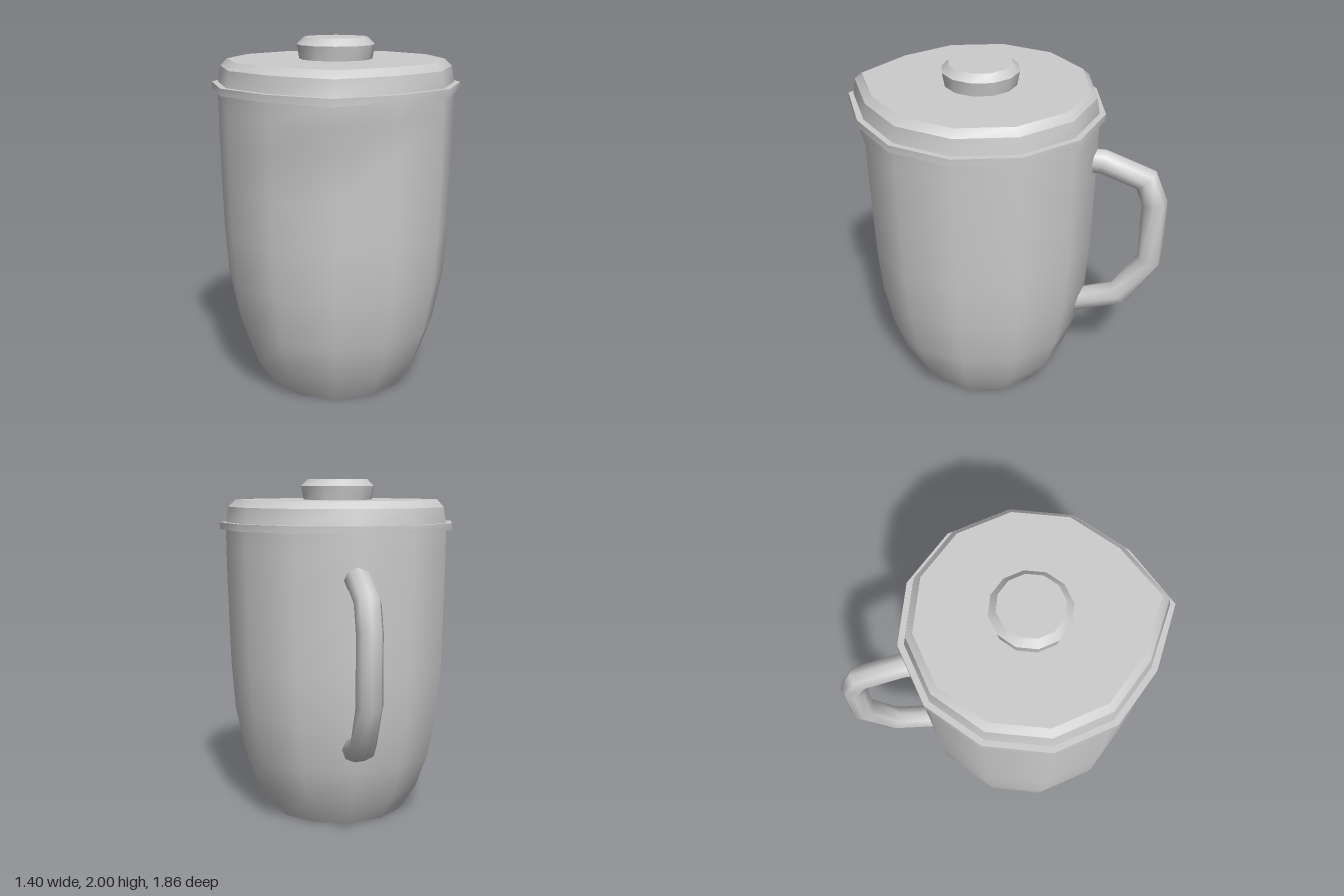
import * as THREE from 'three';

const SIDES = 12;
const CENTRE_Z = 0.147;

// Twelve-sided ring; the front corner is pulled forward to form the spout.
function ring(radius, y, pull = 0) {
  return Array.from({ length: SIDES }, (_, i) => {
    const a = (i / SIDES) * Math.PI * 2;
    return new THREE.Vector3(
      radius * Math.sin(a), y, CENTRE_Z + radius * Math.cos(a) + (i === 0 ? pull : 0));
  });
}

// Smooth skin through rings of equal size.
function loft(rings) {
  const n = rings[0].length;
  const index = [];
  for (let r = 0; r < rings.length - 1; r++) {
    for (let i = 0; i < n; i++) {
      const j = (i + 1) % n;
      const a = r * n + i, b = r * n + j, c = a + n, d = b + n;
      index.push(a, b, d, a, d, c);
    }
  }
  const geometry = new THREE.BufferGeometry().setFromPoints(rings.flat());
  geometry.setIndex(index);
  geometry.computeVertexNormals();
  return geometry;
}

// Flat fan closing a ring.
function cap(points, faceUp) {
  const index = [];
  for (let i = 1; i < points.length - 1; i++) {
    index.push(0, ...(faceUp ? [i, i + 1] : [i + 1, i]));
  }
  const geometry = new THREE.BufferGeometry().setFromPoints(points);
  geometry.setIndex(index);
  geometry.computeVertexNormals();
  return geometry;
}

// Tube rings mitred at each bend of a path in the yz plane.
function tubeRings(path, radius, sides) {
  const points = path.map(([z, y]) => new THREE.Vector3(0, y, z));
  const xAxis = new THREE.Vector3(1, 0, 0);
  return points.map((p, k) => {
    const before = p.clone().sub(points[Math.max(k - 1, 0)]).normalize();
    const after = points[Math.min(k + 1, points.length - 1)].clone().sub(p).normalize();
    const tangent = before.clone().add(after).normalize();
    const mitre = 1 / tangent.dot(k === 0 ? after : before);
    const normal = xAxis.clone().cross(tangent).multiplyScalar(mitre);
    return Array.from({ length: sides }, (_, i) => {
      const a = (i / sides) * Math.PI * 2;
      return p.clone()
        .addScaledVector(xAxis, radius * Math.sin(a))
        .addScaledVector(normal, radius * Math.cos(a));
    });
  });
}

export function createModel() {
  const grey = new THREE.MeshStandardMaterial({ color: 0xcccccc });
  grey.name = 'light grey';
  const model = new THREE.Group();
  model.name = 'pitcher';

  const add = (parent, name, geometry) => {
    const mesh = new THREE.Mesh(geometry, grey);
    mesh.name = name;
    parent.add(mesh);
  };

  // Crisp-edged part: each band is separate so its edges stay sharp.
  const addBanded = (name, rings) => {
    const group = new THREE.Group();
    group.name = name;
    for (let i = 0; i < rings.length - 1; i++) {
      add(group, name + 'Band', loft([rings[i], rings[i + 1]]));
    }
    add(group, name + 'Top', cap(rings[rings.length - 1], true));
    add(group, name + 'Underside', cap(rings[0], false));
    model.add(group);
  };

  // Body: radius, height, spout pull
  const bodyRings = [
    [0.40, 0, 0], [0.505, 0.16, 0], [0.575, 0.36, 0], [0.63, 0.64, 0], [0.65, 0.92, 0],
    [0.658, 1.2, 0.005], [0.664, 1.44, 0.017], [0.666, 1.6, 0.087], [0.667, 1.72, 0.087],
  ].map(([r, y, pull]) => ring(r, y, pull));
  add(model, 'body', loft(bodyRings));
  add(model, 'base', cap(bodyRings[0], false));

  // Rim, lid and knob
  addBanded('rim', [ring(0.70, 1.71, 0.08), ring(0.70, 1.75, 0.08)]);
  addBanded('lid', [ring(0.665, 1.75, 0.085), ring(0.65, 1.84, 0.085), ring(0.61, 1.88, 0.08)]);
  addBanded('knob', [ring(0.205, 1.88), ring(0.22, 1.96), ring(0.18, 2.0)]);

  // Handle: path as z, y from the top joint to the bottom joint
  const handleRings = tubeRings([
    [-0.45, 1.46], [-0.555, 1.46], [-0.80, 1.37], [-0.858, 1.23],
    [-0.858, 0.85], [-0.69, 0.585], [-0.40, 0.49],
  ], 0.072, 8);
  add(model, 'handle', loft(handleRings));
  add(model, 'handleTopEnd', cap(handleRings[0], false));
  add(model, 'handleBottomEnd', cap(handleRings[handleRings.length - 1], true));

  return model;
}
